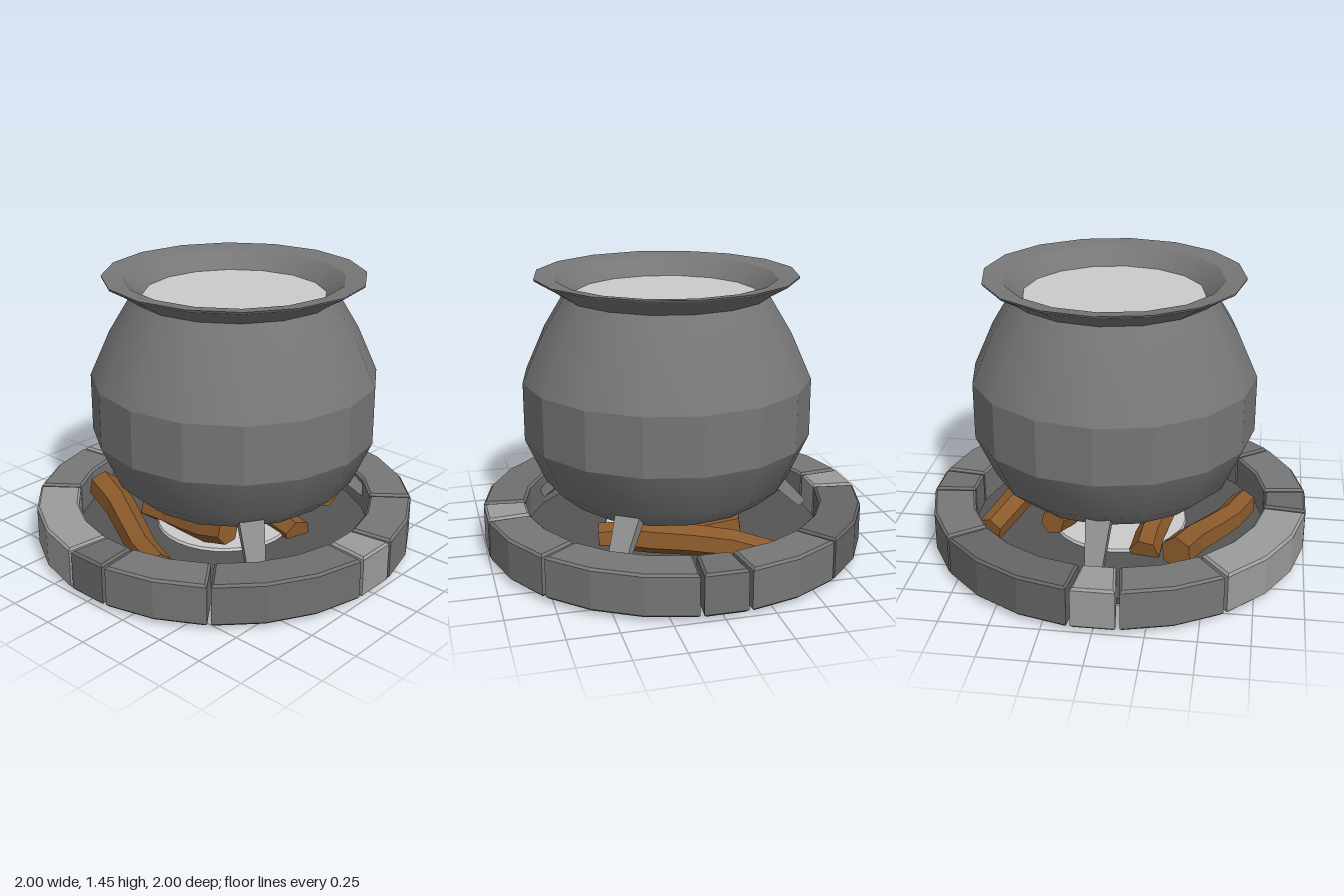
import * as THREE from 'three';

const V2 = (x, y) => new THREE.Vector2(x, y);
const V3 = (x, y, z) => new THREE.Vector3(x, y, z);
const mat = (color, flatShading = false, side = THREE.FrontSide) =>
  new THREE.MeshStandardMaterial({ color, flatShading, side });

function add(parent, name, geometry, material) {
  const mesh = new THREE.Mesh(geometry, material);
  mesh.name = name;
  parent.add(mesh);
  return mesh;
}

// Bevelled block following an arc of the ring, angles in degrees
function stoneGeometry(from, to, facets) {
  const gap = 0.55, inner = 0.785, outer = 1.005, pts = [];
  const at = (r, i) => {
    const a = THREE.MathUtils.degToRad(from + gap + (to - from - 2 * gap) * i / facets);
    return V2(r * Math.cos(a), r * Math.sin(a));
  };
  for (let i = 0; i <= facets; i++) pts.push(at(outer, i));
  for (let i = facets; i >= 0; i--) pts.push(at(inner, i));
  const b = 0.012;
  const geo = new THREE.ExtrudeGeometry(new THREE.Shape(pts), {
    depth: 0.22 - 2 * b, bevelThickness: b, bevelSize: b, bevelOffset: -b, bevelSegments: 1,
  });
  return geo.rotateX(Math.PI / 2).translate(0, 0.25 - b, 0);
}

// Six-sided, slightly bent log between two points
function logGeometry(a, b, r, bend) {
  const dir = b.clone().sub(a), len = dir.length();
  const geo = new THREE.CylinderGeometry(r * 0.85, r, len, 6, 4);
  const p = geo.attributes.position;
  for (let i = 0; i < p.count; i++) {
    const t = p.getY(i) / len;
    p.setX(i, p.getX(i) + bend * (1 - 4 * t * t));
    p.setZ(i, p.getZ(i) + bend * 0.6 * Math.sin(t * 6));
  }
  const q = new THREE.Quaternion().setFromUnitVectors(V3(0, 1, 0), dir.normalize());
  return geo.applyQuaternion(q).translate((a.x + b.x) / 2, (a.y + b.y) / 2, (a.z + b.z) / 2);
}

export function createModel() {
  const model = new THREE.Group();
  model.name = 'cauldronOnFirePit';

  // Ring of stones: three sizes repeated in each quarter
  const ring = new THREE.Group();
  ring.name = 'stoneRing';
  model.add(ring);
  const pattern = [[-7, 6.5, 1], [6.5, 52, 3], [52, 83, 2]];
  const shades = [0x9c9c9c, 0x707070, 0x777777, 0x6a6a6a, 0x9c9c9c, 0x777777,
    0x9c9c9c, 0x666666, 0x777777, 0x707070, 0x777777, 0x777777];
  for (let q = 0; q < 4; q++) {
    pattern.forEach(([from, to, facets], k) => {
      add(ring, 'stone', stoneGeometry(from + 90 * q, to + 90 * q, facets), mat(shades[q * 3 + k], true));
    });
  }

  // Pit floor and the ash heap in its centre
  const floor = add(model, 'pitFloor', new THREE.CylinderGeometry(0.8, 0.8, 0.03, 32), mat(0x555555));
  floor.position.y = 0.06;
  const ash = add(model, 'ash', new THREE.CylinderGeometry(0.36, 0.38, 0.05, 32), mat(0xcccccc));
  ash.position.y = 0.065;

  // Firewood
  const wood = new THREE.Group();
  wood.name = 'firewood';
  model.add(wood);
  const brown = mat(0x8a5a2b, true);
  [
    [V3(-0.58, 0.225, 0.36), V3(0.17, 0.13, 0.67), 0.085, 0.025],
    [V3(-0.38, 0.09, 0.18), V3(0.27, 0.2, 0.27), 0.08, 0.02],
    [V3(0.42, 0.085, -0.12), V3(-0.28, 0.18, -0.32), 0.08, -0.02],
    [V3(0.4, 0.23, -0.38), V3(-0.34, 0.14, -0.65), 0.085, 0.025],
  ].forEach(([a, b, r, bend]) => add(wood, 'log', logGeometry(a, b, r, bend), brown));

  // Cauldron, standing slightly off the centre of the pit
  const pot = new THREE.Group();
  pot.name = 'cauldron';
  pot.position.set(0.04, 0, -0.035);
  model.add(pot);
  const iron = mat(0x777777, false, THREE.DoubleSide);
  const ironFlat = mat(0x777777, true, THREE.DoubleSide);
  const lathe = (name, pts, m) =>
    add(pot, name, new THREE.LatheGeometry(pts.map(p => V2(...p)), 16), m);
  lathe('potBase', [[0, 0.265], [0.25, 0.27], [0.53, 0.305]], iron);
  lathe('potLowerBody', [[0.53, 0.305], [0.64, 0.4], [0.745, 0.635]], iron);
  lathe('potBand', [[0.745, 0.635], [0.745, 0.935]], ironFlat);
  lathe('potShoulder', [[0.745, 0.935], [0.64, 1.17], [0.525, 1.36]], iron);
  lathe('rimUnderside', [[0.525, 1.36], [0.59, 1.405], [0.67, 1.45], [0.672, 1.46]], iron);
  lathe('rimTop', [[0.672, 1.46], [0.565, 1.445]], iron);
  lathe('potMouth', [[0.565, 1.445], [0.47, 1.36], [0.46, 1.33]], iron);

  // Contents
  const brew = add(pot, 'brew', new THREE.CircleGeometry(0.475, 16).rotateX(-Math.PI / 2), mat(0xcccccc));
  brew.position.y = 1.358;

  // Three splayed legs, wider at the pot
  for (const deg of [180, 40, -57]) {
    const leg = new THREE.Group();
    leg.name = 'leg';
    leg.rotation.y = -THREE.MathUtils.degToRad(deg);
    const geo = new THREE.BoxGeometry(0.08, 0.3, 0.13);
    const p = geo.attributes.position;
    for (let i = 0; i < p.count; i++) {
      if (p.getY(i) < 0) p.setXYZ(i, p.getX(i) * 0.6, p.getY(i), p.getZ(i) * 0.65);
    }
    const block = add(leg, 'legBlock', geo, mat(0x8a8a8a, true));
    block.position.set(0.655, 0.255, 0);
    block.rotation.z = 0.78;
    pot.add(leg);
  }
  return model;
}
